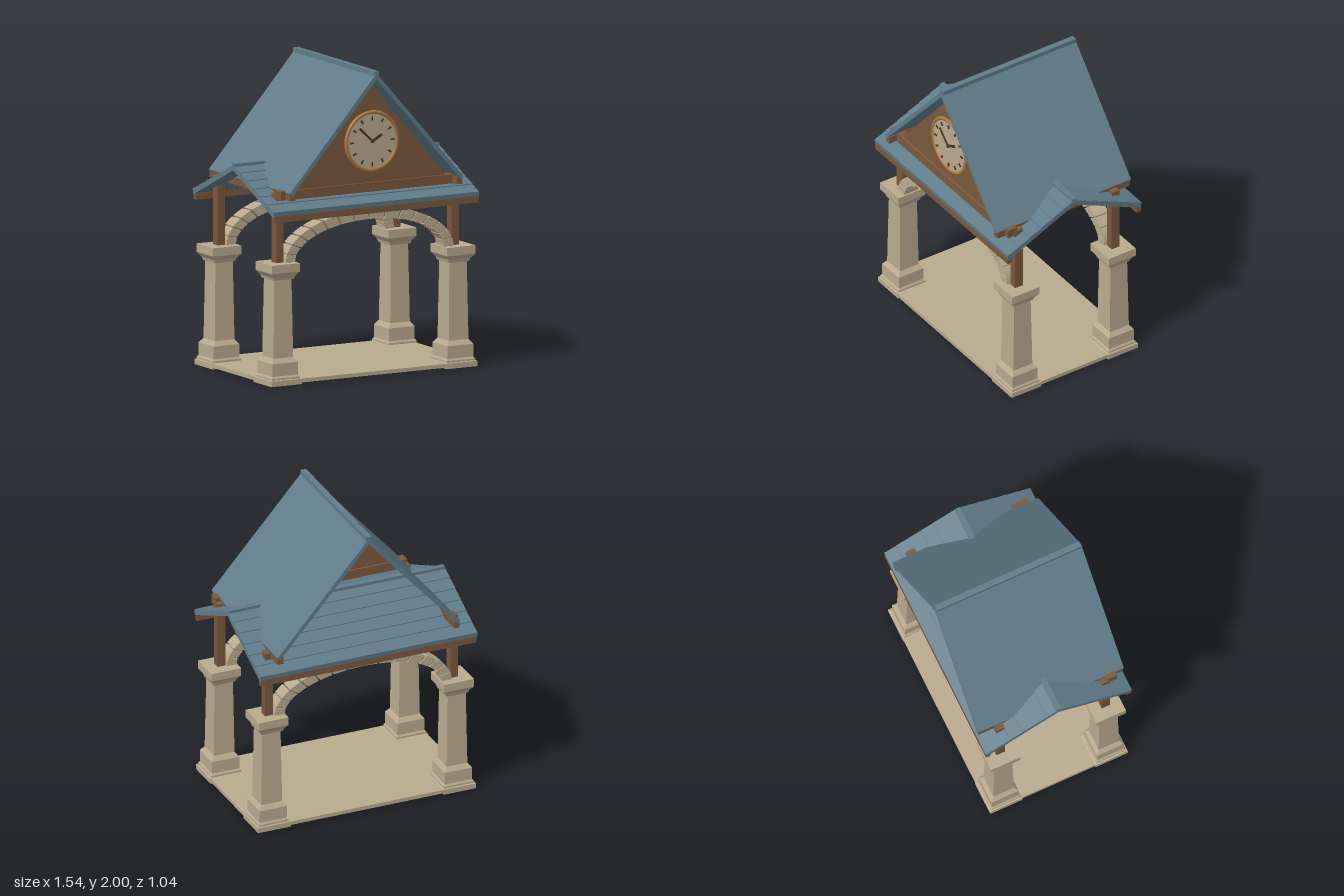
import * as THREE from 'three';

const mat = (name, color) => {
  const m = new THREE.MeshStandardMaterial({ color });
  m.name = name;
  return m;
};

export function createModel() {
  const model = new THREE.Group();
  model.name = 'clockPavilion';
  const stone = mat('stone', 0xb9aa8e);
  const mortar = mat('mortar', 0x857660);
  const wood = mat('wood', 0x7b583c);
  const slate = mat('slate', 0x607c89);
  const brass = mat('brass', 0xa8793f);
  const dark = mat('darkWood', 0x50371f);

  const add = (name, geo, material, x = 0, y = 0, z = 0, parent = model) => {
    const mesh = new THREE.Mesh(geo, material);
    mesh.name = name;
    mesh.position.set(x, y, z);
    parent.add(mesh);
    return mesh;
  };
  const box = (name, w, h, d, material, x, y, z, parent) =>
    add(name, new THREE.BoxGeometry(w, h, d), material, x, y, z, parent);
  // Polygon extruded along z and centred on it
  const prism = (pts, depth) => {
    const shape = new THREE.Shape(pts.map(([x, y]) => new THREE.Vector2(x, y)));
    return new THREE.ExtrudeGeometry(shape, { depth, bevelEnabled: false }).translate(0, 0, -depth / 2);
  };
  // Square pillar from [half width, y] pairs
  const squareLathe = (profile) => {
    const pts = profile.map(([r, y]) => new THREE.Vector2(r * Math.SQRT2, y));
    const geo = new THREE.LatheGeometry(pts, 4).rotateY(Math.PI / 4).toNonIndexed();
    geo.computeVertexNormals();
    return geo;
  };

  // Floor slab
  box('floor', 1.526, 0.025, 0.976, stone, 0, 0.0225, 0);

  // Stone columns with timber posts
  const columnGeo = squareLathe([
    [0, 0], [0.115, 0], [0.115, 0.035], [0.105, 0.038], [0.105, 0.05], [0.096, 0.062],
    [0.096, 0.145], [0.073, 0.175], [0.065, 0.685], [0.076, 0.685], [0.082, 0.705],
    [0.105, 0.735], [0.105, 0.79], [0, 0.79],
  ]);
  for (const sx of [-1, 1]) {
    for (const sz of [-1, 1]) {
      add('column', columnGeo, stone, sx * 0.653, 0, sz * 0.375);
      box('post', 0.055, 0.45, 0.06, wood, sx * 0.653, 1.015, sz * 0.375);
    }
  }

  // Segmented stone arches over a recessed mortar core
  const arcBand = (a0, a1, steps, inset) => {
    const outer = [], inner = [];
    for (let i = 0; i <= steps; i++) {
      const a = a0 + ((a1 - a0) * i) / steps;
      outer.push([Math.cos(a) * (0.625 - inset), 0.79 + Math.sin(a) * (0.3 - inset)]);
      inner.unshift([Math.cos(a) * (0.555 + inset), 0.79 + Math.sin(a) * (0.232 + inset)]);
    }
    return [...outer, ...inner];
  };
  const stones = 16, stepAngle = Math.PI / stones, gap = 0.012;
  for (const z of [-0.378, 0.378]) {
    const arch = new THREE.Group();
    arch.name = 'arch';
    arch.position.z = z;
    model.add(arch);
    add('archCore', prism(arcBand(0, Math.PI, 32, 0.008), 0.09), mortar, 0, 0, 0, arch);
    for (let i = 0; i < stones; i++) {
      const band = arcBand(i * stepAngle + gap, (i + 1) * stepAngle - gap, 2, 0);
      add('archStone', prism(band, 0.105), stone, 0, 0, 0, arch);
    }
  }

  // Low cross roof with lapped slate rows, ridge along x
  const rows = 6, half = [];
  for (let i = 0; i < rows; i++) {
    const z0 = (0.52 * i) / rows, z1 = (0.52 * (i + 1)) / rows;
    half.push([z0, 1.374 - z0 * 0.45], [z1, 1.38 - z1 * 0.45]);
  }
  half.push([0.515, 1.105]);
  const mirrored = half.slice(1).reverse().map(([z, y]) => [-z, y]);
  const lowProfile = [...half, [0, 1.342], ...mirrored];
  add('lowerRoof', prism(lowProfile, 1.53).rotateY(Math.PI / 2), slate);
  box('lowerRidgeCap', 1.525, 0.03, 0.036, slate, 0, 1.371, 0);
  for (const s of [-1, 1]) box('lowerEaveBeam', 1.52, 0.042, 0.034, wood, 0, 1.096, s * 0.501);

  // Steep main roof, ridge along z
  add('mainRoof', prism([
    [0, 1.988], [-0.645, 1.258], [-0.625, 1.24], [0, 1.947], [0.625, 1.24], [0.645, 1.258],
  ], 1.04), slate);
  box('mainRidgeCap', 0.038, 0.03, 1.03, slate, 0, 1.985, 0);
  for (const s of [-1, 1]) box('mainEaveBeam', 0.04, 0.05, 1.03, wood, s * 0.622, 1.232, 0);

  // Front gable
  box('tieBeam', 1.35, 0.06, 0.07, wood, 0, 1.235, 0.422);
  add('gable', prism([[-0.56, 1.262], [0.56, 1.262], [0, 1.912]], 0.04), wood, 0, 0, 0.42);

  // Clock
  const clock = new THREE.Group();
  clock.name = 'clock';
  clock.position.set(0, 1.535, 0.44);
  model.add(clock);
  const disc = (r, h) => new THREE.CylinderGeometry(r, r, h, 40).rotateX(Math.PI / 2);
  add('clockFace', disc(0.185, 0.02), stone, 0, 0, 0.01, clock);
  add('clockRim', new THREE.TorusGeometry(0.189, 0.013, 8, 40), brass, 0, 0, 0.015, clock);
  for (let i = 0; i < 12; i++) {
    const a = (i * Math.PI) / 6;
    const tick = box('hourMark', 0.026, 0.011, 0.006, dark, Math.cos(a) * 0.15, Math.sin(a) * 0.15, 0.023, clock);
    tick.rotation.z = a;
  }
  const hand = (name, x, y, width, z) => {
    const m = box(name, Math.hypot(x, y) + 0.01, width, 0.007, dark, x / 2, y / 2, z, clock);
    m.rotation.z = Math.atan2(y, x);
  };
  hand('hourHand', 0.068, 0.037, 0.017, 0.0235);
  hand('minuteHand', -0.092, 0.088, 0.013, 0.0265);
  add('clockHub', disc(0.011, 0.012), dark, 0, 0, 0.026, clock);

  return model;
}
